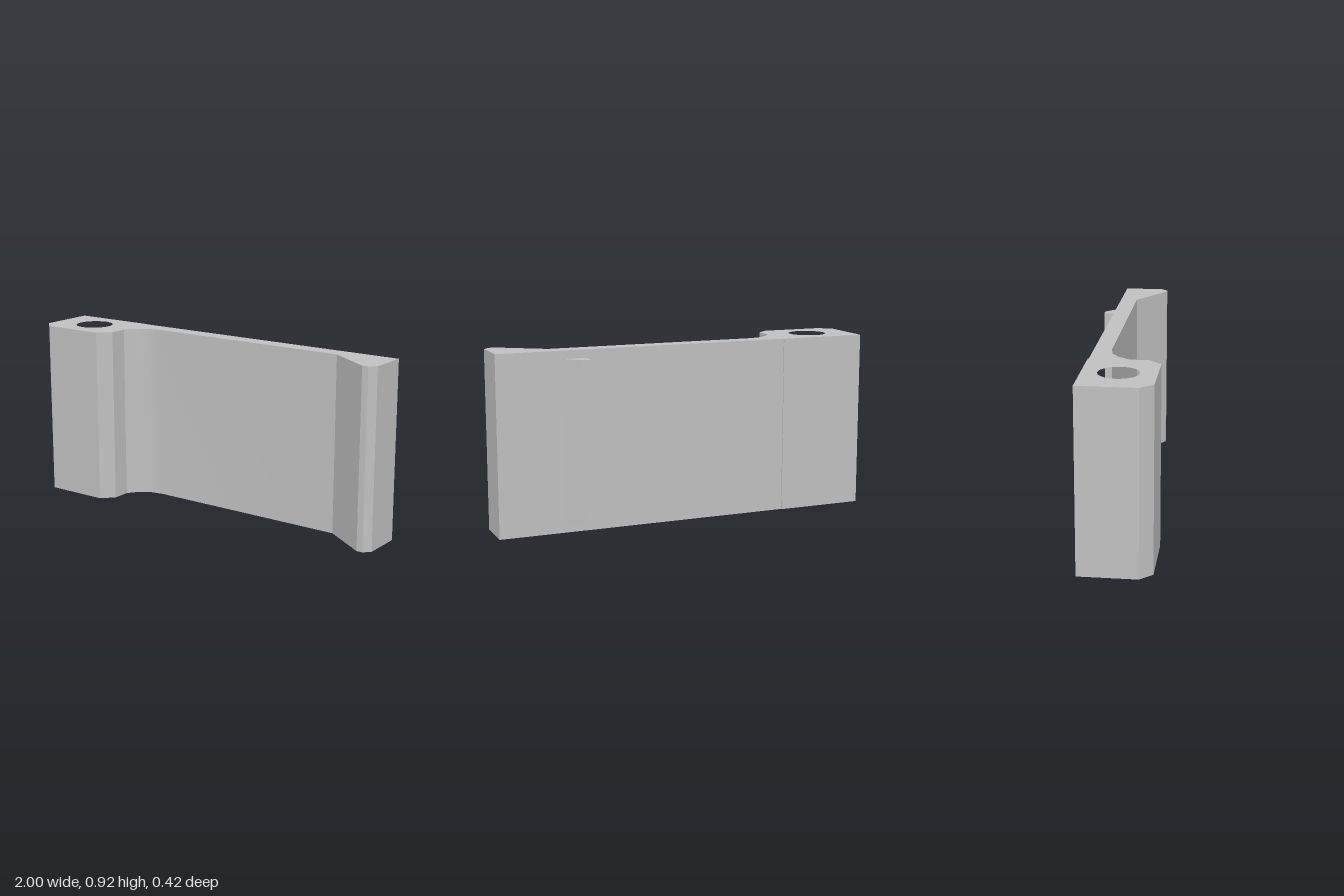
import * as THREE from 'three';
import { toCreasedNormals } from 'three/addons/utils/BufferGeometryUtils.js';

const HEIGHT = 0.917;

// Extrudes an (x, z) plan outline upwards from y0
function extrudePlan(points, y0, height, hole) {
  const shape = new THREE.Shape(points.map(([x, z]) => new THREE.Vector2(x, -z)));
  if (hole) {
    shape.holes.push(new THREE.Path().absarc(hole.x, -hole.z, hole.r, 0, Math.PI * 2, true));
  }
  const geometry = new THREE.ExtrudeGeometry(shape, { depth: height, bevelEnabled: false, curveSegments: 32 });
  geometry.rotateX(-Math.PI / 2);
  geometry.translate(0, y0, 0);
  return toCreasedNormals(geometry, 0.5);
}

export function createModel() {
  const group = new THREE.Group();
  group.name = 'hingedPlate';
  const grey = new THREE.MeshStandardMaterial({ color: 0xc0c0c0 });
  grey.name = 'grey';

  // Concave fillet between the thin plate and the hinge block
  const fillet = [];
  const r = 0.182, sweep = 1.138;
  for (let i = 0; i <= 3; i++) {
    const a = (sweep * i) / 3;
    fillet.push([-0.38 - r * Math.sin(a), -0.05 + r * (1 - Math.cos(a))]);
  }

  // Plate with drilled hinge block on one end and a tapered lip on the other
  const outline = [
    [-1, -0.143], [-0.545, -0.143], [-0.545, -0.138], [1, -0.138],
    [1, 0.067], [0.967, 0.1], [0.935, 0.1], [0.71, -0.05],
    ...fillet,
    [-0.545, 0.15], [-0.605, 0.212], [-0.94, 0.212], [-1, 0.15],
  ];
  const body = new THREE.Mesh(
    extrudePlan(outline, 0, HEIGHT, { x: -0.772, z: 0.032, r: 0.098 }), grey);
  body.name = 'plateBody';
  group.add(body);

  // Wedge shaped catch rib on the back
  const ribOutline = [[0.54, -0.138], [0.54, -0.212], [0.582, -0.212], [0.656, -0.138]];
  const rib = new THREE.Mesh(extrudePlan(ribOutline, 0.044, 0.831), grey);
  rib.name = 'catchRib';
  group.add(rib);

  return group;
}
